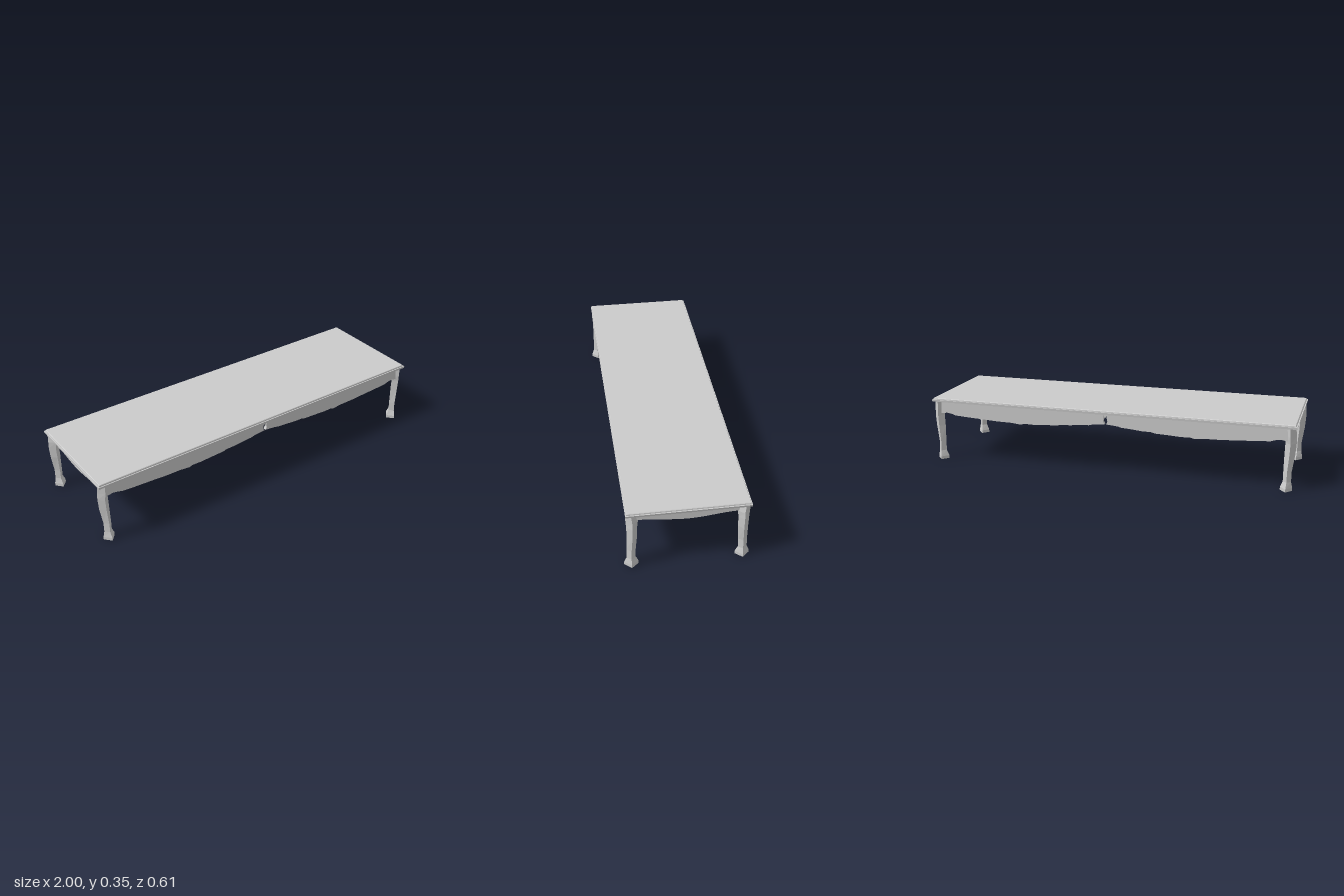
import * as THREE from 'three';

const material = new THREE.MeshStandardMaterial({ color: 0xcccccc, flatShading: true, side: THREE.DoubleSide });

function add(parent, geometry, name) {
  const mesh = new THREE.Mesh(geometry, material);
  mesh.name = name;
  parent.add(mesh);
  return mesh;
}

// Solid skinned through four-cornered sections, listed from bottom to top
function loft(sections) {
  const positions = [];
  const quad = (a, b, c, d) => [a, b, c, a, c, d].forEach((p) => positions.push(...p));
  for (let i = 0; i < sections.length - 1; i++) {
    for (let k = 0; k < 4; k++) {
      const n = (k + 1) % 4;
      quad(sections[i][k], sections[i][n], sections[i + 1][n], sections[i + 1][k]);
    }
  }
  const top = sections[sections.length - 1];
  quad(top[0], top[1], top[2], top[3]);
  quad(...[...sections[0]].reverse());
  const geometry = new THREE.BufferGeometry();
  geometry.setAttribute('position', new THREE.Float32BufferAttribute(positions, 3));
  geometry.computeVertexNormals();
  return geometry;
}

const rectangle = (y, x, z) => [[-x, y, z], [x, y, z], [x, y, -z], [-x, y, -z]];
const diamond = (y, cx, cz, rx, rz) => [[cx - rx, y, cz], [cx, y, cz + rz], [cx + rx, y, cz], [cx, y, cz - rz]];

// Flat board cut to an outline of [x, y] points
function board(points, depth) {
  const shape = new THREE.Shape(points.map(([x, y]) => new THREE.Vector2(x, y)));
  return new THREE.ExtrudeGeometry(shape, { depth, bevelEnabled: false }).translate(0, 0, -depth / 2);
}

export function createModel() {
  const group = new THREE.Group();

  // Top with a stepped, slightly chamfered edge
  add(group, loft([
    rectangle(0.33, 0.998, 0.297), rectangle(0.341, 1, 0.298),
    rectangle(0.341, 0.994, 0.293), rectangle(0.347, 0.993, 0.292), rectangle(0.35, 0.99, 0.29),
  ]), 'tableTop');

  // Curved legs, set cornerwise: y, centre x, centre z, half widths
  const legProfile = [
    [0, 0.957, 0.27, 0.031, 0.035],
    [0.016, 0.957, 0.27, 0.031, 0.035],
    [0.048, 0.96, 0.271, 0.021, 0.022],
    [0.1, 0.96, 0.27, 0.021, 0.022],
    [0.19, 0.967, 0.266, 0.027, 0.025],
    [0.25, 0.97, 0.266, 0.028, 0.026],
    [0.288, 0.967, 0.265, 0.03, 0.03],
    [0.33, 0.966, 0.27, 0.027, 0.026],
  ];
  for (const sx of [-1, 1]) {
    for (const sz of [-1, 1]) {
      add(group, loft(legProfile.map(([y, x, z, rx, rz]) => diamond(y, x * sx, z * sz, rx, rz))), 'leg');
    }
  }

  // Lower edge of one half of a long apron
  const longEdge = [
    [0.008, 0.31], [0.012, 0.29], [0.004, 0.274], [0.03, 0.272], [0.07, 0.268], [0.09, 0.262],
    [0.13, 0.26], [0.2, 0.253], [0.25, 0.252], [0.27, 0.246], [0.34, 0.243], [0.41, 0.239],
    [0.46, 0.24], [0.48, 0.234], [0.51, 0.237], [0.54, 0.24], [0.62, 0.241], [0.7, 0.246],
    [0.8, 0.251], [0.87, 0.256], [0.89, 0.263], [0.92, 0.268], [0.955, 0.262],
  ];

  // Scalloped trim running under the top
  const trimEdge = [];
  const lobes = 12;
  for (let i = 0; i <= lobes * 4; i++) {
    const t = i / (lobes * 4);
    trimEdge.push([0.01 + 0.93 * t, 0.322 - 0.007 * Math.abs(Math.sin(t * lobes * Math.PI))]);
  }

  for (const sz of [-1, 1]) {
    for (const sx of [-1, 1]) {
      const close = (edge) => [[edge[0][0], 0.331], ...edge, [edge[edge.length - 1][0], 0.331]]
        .map(([x, y]) => [x * sx, y]);
      add(group, board(close(longEdge), 0.018), 'longApron').position.z = sz * 0.272;
      add(group, board(close(trimEdge), 0.005), 'scallopedTrim').position.z = sz * 0.283;
    }
    // Small drop at the middle of each long side
    add(group, board([[-0.012, 0.331], [-0.005, 0.318], [0, 0.308], [0.005, 0.318], [0.012, 0.331]], 0.014),
      'centreDrop').position.z = sz * 0.277;
  }

  // Sagging end aprons
  const endOutline = [[-0.245, 0.331]];
  for (let i = 0; i <= 16; i++) {
    const t = i / 8 - 1;
    endOutline.push([0.245 * t, 0.28 - 0.01 * Math.cos(t * Math.PI)]);
  }
  endOutline.push([0.245, 0.331]);
  for (const sx of [-1, 1]) {
    const apron = add(group, board(endOutline, 0.02), 'endApron');
    apron.rotation.y = Math.PI / 2;
    apron.position.x = sx * 0.962;
  }

  return group;
}
